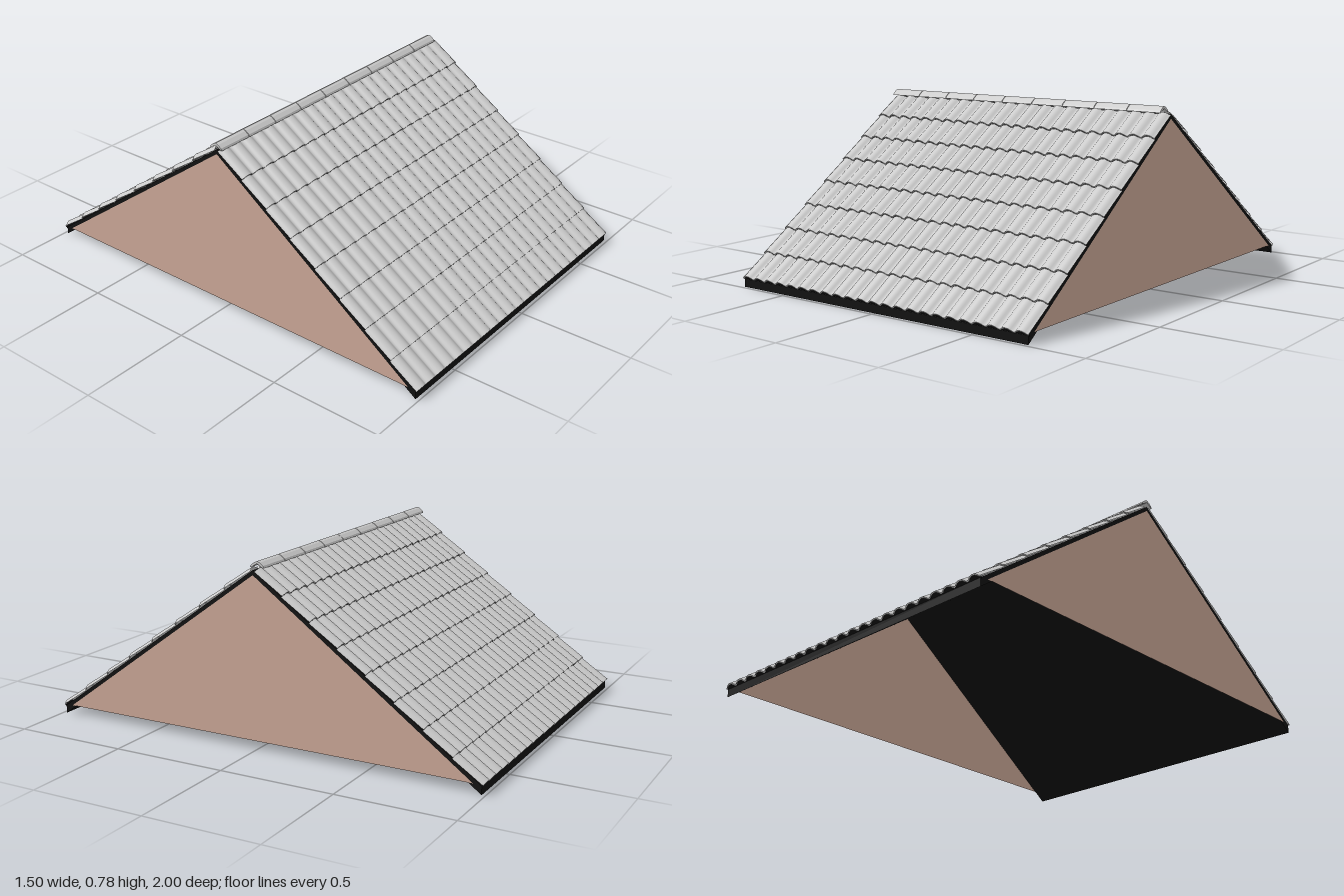
import * as THREE from 'three';

const WIDTH = 1.5, COLUMNS = 23, COURSES = 8, SEGMENTS = 10;
const PITCH = WIDTH / COLUMNS;
const SLOPE = 0.722, APEX = 0.746, EAVE = 0.987;
const ANGLE = Math.atan(SLOPE);

const tileMat = new THREE.MeshStandardMaterial({ color: 0xcccccc, side: THREE.DoubleSide });
const capMat = new THREE.MeshStandardMaterial({ color: 0xcccccc });
const deckMat = new THREE.MeshStandardMaterial({ color: 0x111111, side: THREE.DoubleSide });
const gableMat = new THREE.MeshStandardMaterial({ color: 0xc9a696, side: THREE.DoubleSide });

function named(name, geometry, material) {
  const mesh = new THREE.Mesh(geometry, material);
  mesh.name = name;
  return mesh;
}

// Barrel wave: a rounded crest per column with a narrow flat valley
function wave(u) {
  const t = Math.abs(u - Math.floor(u) - 0.5) / 0.43;
  return t >= 1 ? 0 : 0.015 * Math.pow(Math.cos(t * Math.PI / 2), 0.8);
}

// Point on the front slope: z along the deck, then lifted along its normal
function onSlope(x, z, lift) {
  return [x, APEX - SLOPE * z + lift * Math.cos(ANGLE), z + lift * Math.sin(ANGLE)];
}

// Wavy band across the roof between an upper and a lower edge
function band(upper, lower) {
  const positions = [], index = [], count = COLUMNS * SEGMENTS;
  for (let i = 0; i <= count; i++) {
    const u = i / SEGMENTS, x = -WIDTH / 2 + u * PITCH;
    for (const edge of [upper, lower]) {
      positions.push(...onSlope(x, edge.z, edge.lift + (edge.flat ? 0 : wave(u))));
    }
    if (i < count) {
      const a = i * 2;
      index.push(a, a + 1, a + 2, a + 2, a + 1, a + 3);
    }
  }
  const geometry = new THREE.BufferGeometry();
  geometry.setAttribute('position', new THREE.Float32BufferAttribute(positions, 3));
  geometry.setIndex(index);
  geometry.computeVertexNormals();
  return geometry;
}

// One slope: overlapping courses, each with a lip at its lower edge
function tileSlope(name) {
  const group = new THREE.Group();
  group.name = name;
  const top = 0.008, step = (EAVE - top) / COURSES;
  for (let c = 0; c < COURSES; c++) {
    const upper = { z: top + c * step, lift: 0.001 };
    const lower = { z: top + (c + 1) * step, lift: 0.008 };
    group.add(named('tileCourse', band(upper, lower), tileMat));
    group.add(named('tileLip', band(lower, { z: lower.z, lift: 0.002 }), tileMat));
  }
  // Dark filler closing the arches at the eave
  group.add(named('eaveFiller',
    band({ z: EAVE - 0.003, lift: 0.0035 }, { z: EAVE - 0.003, lift: -0.004, flat: true }), deckMat));
  return group;
}

// Extrude a (z, y) outline along x, centred on the given x
function extrudeAlongX(points, length, x) {
  const shape = new THREE.Shape(points.map(([z, y]) => new THREE.Vector2(z, y)));
  return new THREE.ExtrudeGeometry(shape, { depth: length, bevelEnabled: false })
    .translate(0, 0, -length / 2).rotateY(Math.PI / 2).translate(x, 0, 0);
}

export function createModel() {
  const roof = new THREE.Group();
  roof.name = 'gableRoof';

  // Dark deck under the tiles
  const under = 0.711, edge = 0.985;
  roof.add(named('roofDeck', extrudeAlongX([
    [edge, 0], [edge, 0.035], [0, APEX], [-edge, 0.035], [-edge, 0], [0, under],
  ], 1.49, 0), deckMat));

  // Tiled slopes
  const front = tileSlope('frontTiles'), back = tileSlope('backTiles');
  back.rotation.y = Math.PI;
  roof.add(front, back);

  // Triangular gable walls
  const peak = 0.726, foot = 0.04, half = (peak - foot) / SLOPE;
  const triangle = new THREE.Shape([
    new THREE.Vector2(-half, foot), new THREE.Vector2(half, foot), new THREE.Vector2(0, peak),
  ]);
  for (const side of [-1, 1]) {
    const wall = named(side > 0 ? 'leftGable' : 'rightGable', new THREE.ShapeGeometry(triangle), gableMat);
    wall.rotation.y = side * Math.PI / 2;
    wall.position.x = side * 0.746;
    roof.add(wall);
  }

  // Row of ridge caps with thin joints
  const caps = 9, capLength = 1.465 / caps;
  const profile = [
    [-0.032, 0.75], [-0.028, 0.759], [-0.012, 0.771], [0, 0.776], [0.012, 0.771], [0.028, 0.759],
    [0.032, 0.75], [0.026, 0.75], [0, 0.766], [-0.026, 0.75],
  ];
  for (let i = 0; i < caps; i++) {
    const x = -WIDTH / 2 + (i + 0.5) * capLength;
    roof.add(named('ridgeCap', extrudeAlongX(profile, capLength - 0.003, x), capMat));
  }
  return roof;
}
